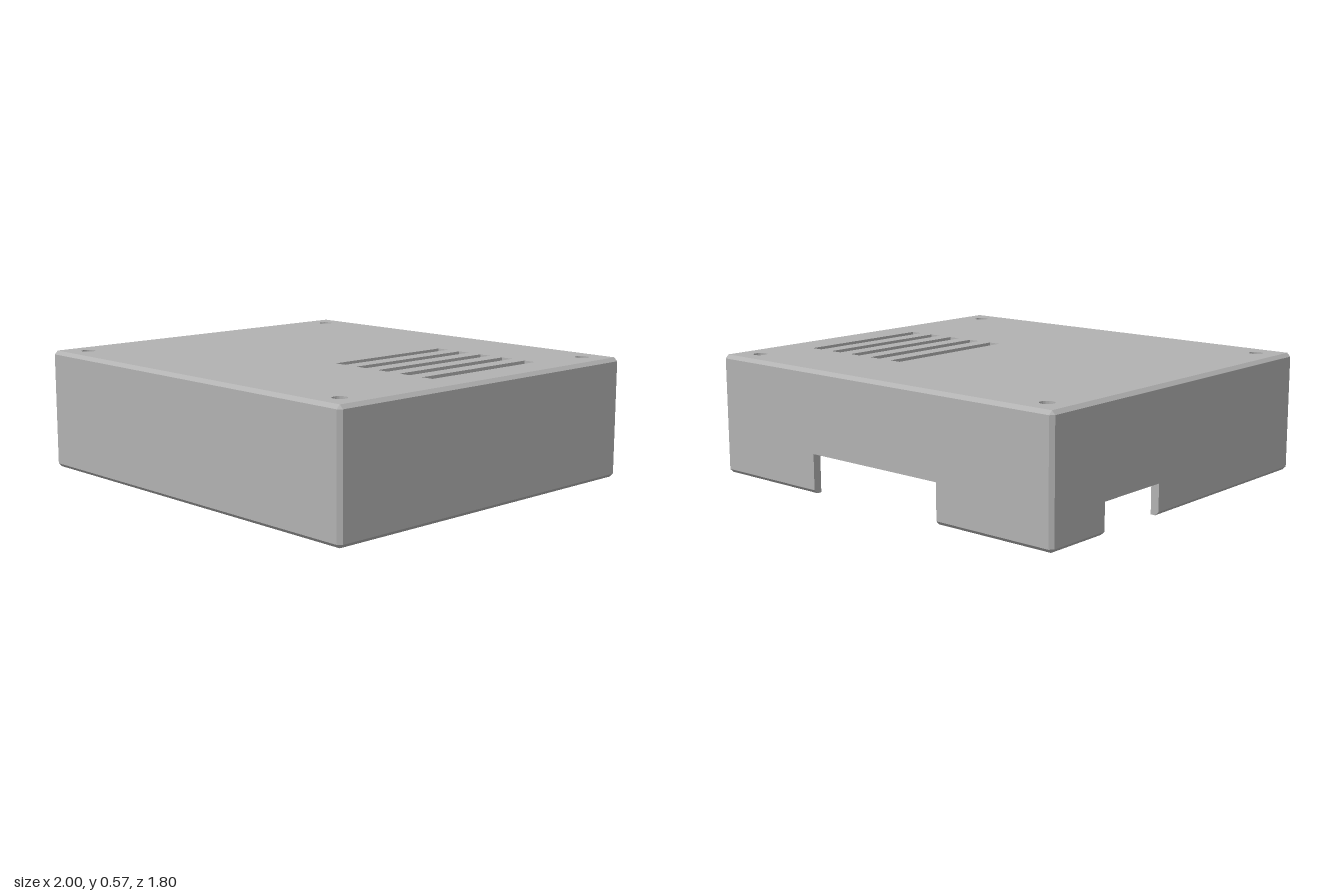
import * as THREE from 'three';
import { mergeGeometries, toCreasedNormals } from 'three/addons/utils/BufferGeometryUtils.js';

const W = 1, D = 0.9, H = 0.57;   // half width, half depth, height
const T = 0.04, C = 0.017;        // wall thickness, edge chamfer
const HOLE = 0.033, POST = 0.072; // screw hole and post radius

// Convex planar polygons, counter-clockwise from outside, as one flat geometry
function polygons(list) {
  const pos = [];
  for (const p of list)
    for (let i = 1; i < p.length - 1; i++) pos.push(...p[0], ...p[i], ...p[i + 1]);
  const g = new THREE.BufferGeometry();
  g.setAttribute('position', new THREE.Float32BufferAttribute(pos, 3));
  g.computeVertexNormals();
  return g;
}

// Upright panel from -l to l, with an optional notch [a, b, h] in its lower edge
function panel(l, y0, y1, notch) {
  const pts = [[-l, y0]];
  if (notch) {
    const [a, b, h] = notch;
    pts.push([a, y0], [a, h], [b, h], [b, y0]);
  }
  pts.push([l, y0], [l, y1], [-l, y1]);
  const shape = new THREE.Shape(pts.map(p => new THREE.Vector2(...p)));
  const g = new THREE.ShapeGeometry(shape).toNonIndexed();
  g.deleteAttribute('uv');
  return g;
}

// One wall facing local +z, with its chamfers and the corner at its +x end
function wallGeometry(l, d, notch) {
  const outer = panel(l - C, C, H - C, notch).translate(0, 0, d);
  const inner = panel(l - T, 0, H - T, notch && [-notch[1], -notch[0], notch[2]])
    .rotateY(Math.PI).translate(0, 0, d - T);
  const o = l - C, i = l - T, z = d - C, zi = d - T, top = H - C;
  const faces = [
    [[-o, top, d], [o, top, d], [o, H, z], [-o, H, z]],
    [[o, C, d], [l, C, z], [l, top, z], [o, top, d]],
    [[o, 0, z], [l, C, z], [o, C, d]],
    [[o, top, d], [l, top, z], [o, H, z]],
  ];
  // lower chamfer and rim, interrupted by the notch
  const rim = (o0, o1, i0, i1) => faces.push(
    [[o0, 0, z], [o1, 0, z], [o1, C, d], [o0, C, d]],
    [[i0, 0, zi], [i1, 0, zi], [o1, 0, z], [o0, 0, z]]);
  if (notch) {
    const [a, b, h] = notch;
    rim(-o, a, -i, a);
    rim(b, o, b, i);
    const reveal = x => [[x, 0, zi], [x, h, zi], [x, h, d], [x, C, d], [x, 0, z]];
    faces.push(reveal(a), reveal(b).reverse(),
      [[a, h, zi], [b, h, zi], [b, h, d], [a, h, d]]);
  } else rim(-o, o, -i, i);
  return mergeGeometries([outer, inner, polygons(faces)]);
}

function rectangle(PathType, x0, x1, y0, y1) {
  return new PathType([[x0, y0], [x1, y0], [x1, y1], [x0, y1]].map(p => new THREE.Vector2(...p)));
}

const circle = (PathType, x, y, r) => new PathType().absarc(x, y, r, 0, Math.PI * 2, false);

// Extrude a plan shape upwards (shape y runs towards -z)
function extrudeUp(shape, y, depth) {
  const g = new THREE.ExtrudeGeometry(shape, { depth, bevelEnabled: false, curveSegments: 32 });
  return toCreasedNormals(g.rotateX(-Math.PI / 2).translate(0, y, 0), 0.6);
}

export function createModel() {
  const model = new THREE.Group();
  model.name = 'enclosureCover';
  const grey = new THREE.MeshStandardMaterial({ color: 0xb2b2b2 });
  grey.name = 'grey';
  const add = (name, geometry) => {
    const mesh = new THREE.Mesh(geometry, grey);
    mesh.name = name;
    model.add(mesh);
    return mesh;
  };

  // Four walls; back and right-hand walls have connector cut-outs
  const q = Math.PI / 2;
  add('frontWall', wallGeometry(W, D));
  add('leftWall', wallGeometry(D, W)).rotation.y = q;
  add('backWall', wallGeometry(W, D, [-0.38, 0.38, 0.185])).rotation.y = 2 * q;
  add('rightWall', wallGeometry(D, W, [-0.56, -0.18, 0.143])).rotation.y = -q;

  // Top plate with vent slots and screw holes
  const plate = rectangle(THREE.Shape, -W + C, W - C, -D + C, D - C);
  for (let i = 0; i < 5; i++) {
    const x = 0.227 + i * 0.1335;
    plate.holes.push(rectangle(THREE.Path, x, x + 0.06, -0.187, 0.5));
  }

  // Hollow screw posts in the corners
  for (const sx of [-1, 1]) for (const sz of [-1, 1]) {
    const x = sx * 0.875, z = sz * 0.78;
    plate.holes.push(circle(THREE.Path, x, -z, HOLE));
    const ring = circle(THREE.Shape, 0, 0, POST);
    ring.holes.push(circle(THREE.Path, 0, 0, HOLE));
    add('screwPost', extrudeUp(ring, 0, H - T)).position.set(x, 0, z);
  }
  add('topPlate', extrudeUp(plate, H - T, T));
  return model;
}
